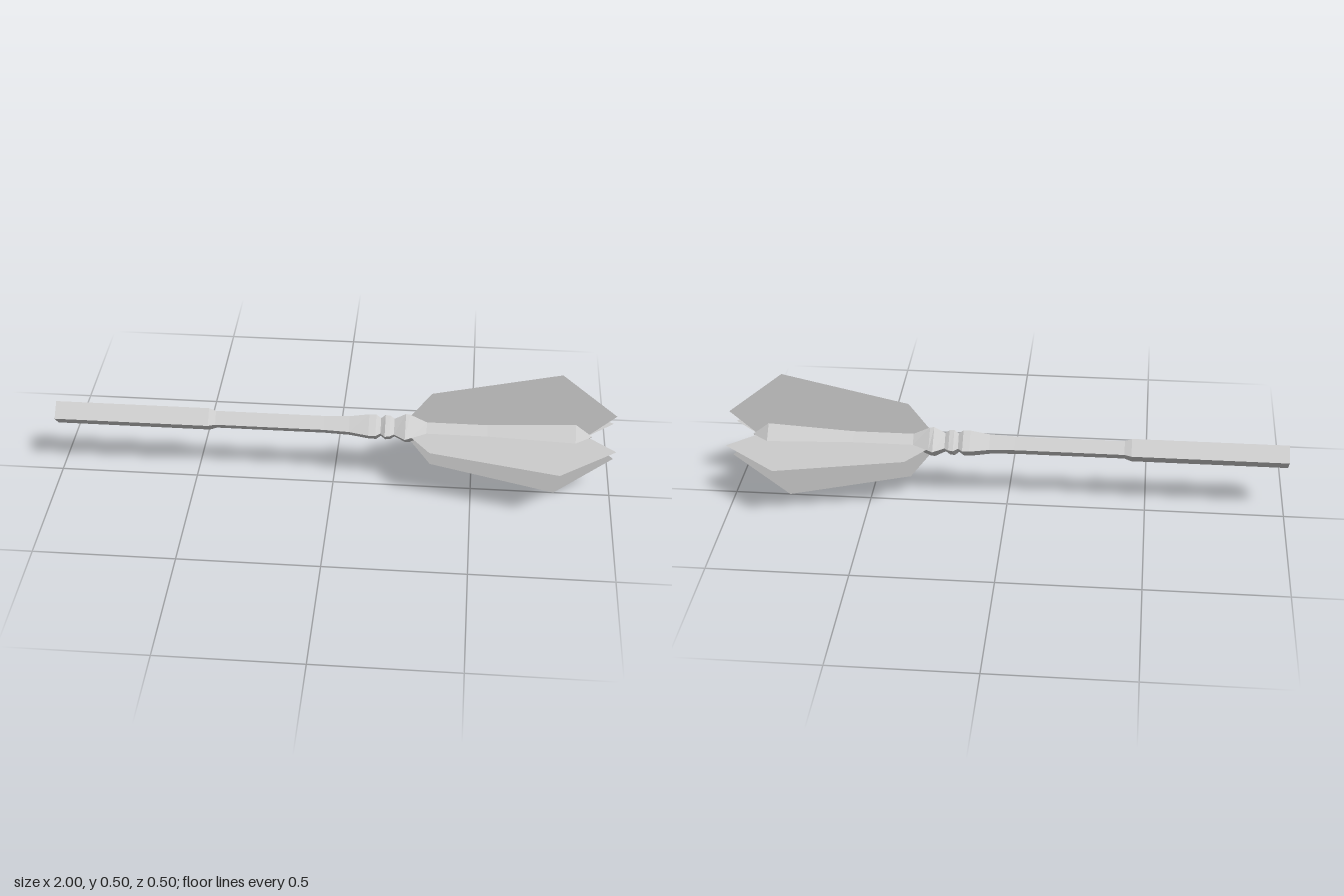
import * as THREE from 'three';

const steel = new THREE.MeshStandardMaterial({ color: 0xcccccc, flatShading: true });
steel.name = 'steel';
const finSteel = new THREE.MeshStandardMaterial({ color: 0xcccccc, side: THREE.DoubleSide });
finSteel.name = 'fin steel';

// Diamond-section body along x; each section is [x, half height, half depth]
function loft(name, sections) {
  const pos = [];
  const corner = ([x, h, d], k) => {
    const t = (k % 4) * Math.PI / 2;
    return [x, h * Math.cos(t), d * Math.sin(t)];
  };
  for (let i = 0; i < sections.length - 1; i++) {
    const s = sections[i], e = sections[i + 1];
    for (let k = 0; k < 4; k++) {
      const a = corner(s, k), b = corner(s, k + 1);
      const c = corner(e, k), d = corner(e, k + 1);
      if (s[1] > 0) pos.push(...a, ...b, ...c);
      if (e[1] > 0) pos.push(...b, ...d, ...c);
    }
  }
  const geo = new THREE.BufferGeometry();
  geo.setAttribute('position', new THREE.Float32BufferAttribute(pos, 3));
  geo.computeVertexNormals();
  const mesh = new THREE.Mesh(geo, steel);
  mesh.name = name;
  return mesh;
}

export function createModel() {
  const model = new THREE.Group();
  model.name = 'flangedMace';
  const weapon = new THREE.Group();
  weapon.name = 'weapon';
  weapon.position.y = 0.25;
  model.add(weapon);

  // Thick grip with a closed butt end
  weapon.add(loft('grip', [
    [-1, 0, 0], [-1, 0.046, 0.046], [-0.445, 0.046, 0.046], [-0.42, 0.036, 0.036],
  ]));

  // Slim shaft swelling towards the head
  weapon.add(loft('shaft', [
    [-0.42, 0.036, 0.036], [-0.03, 0.036, 0.036], [0.06, 0.04, 0.042],
    [0.13, 0.052, 0.06], [0.155, 0.052, 0.06],
  ]));

  // Ringed collar
  weapon.add(loft('collar', [
    [0.155, 0.052, 0.06], [0.172, 0.038, 0.043], [0.188, 0.052, 0.062],
    [0.205, 0.05, 0.058], [0.22, 0.038, 0.045], [0.26, 0.06, 0.076],
    [0.275, 0.058, 0.066],
  ]));

  // Core of the head, ending in a point
  weapon.add(loft('headCore', [
    [0.275, 0.058, 0.066], [0.335, 0.029, 0.029], [0.55, 0.029, 0.029],
    [0.86, 0.047, 0.047], [0.92, 0, 0],
  ]));

  // Four flat flanges around the core
  const outline = [[0.26, 0], [0.26, 0.03], [0.35, 0.15], [0.8, 0.25], [1, 0.09], [0.9, 0]];
  const finGeo = new THREE.ShapeGeometry(
    new THREE.Shape(outline.map(([x, y]) => new THREE.Vector2(x, y))));
  for (let k = 0; k < 4; k++) {
    const fin = new THREE.Mesh(finGeo, finSteel);
    fin.name = 'flange' + (k + 1);
    fin.rotation.x = k * Math.PI / 2;
    weapon.add(fin);
  }
  return model;
}
